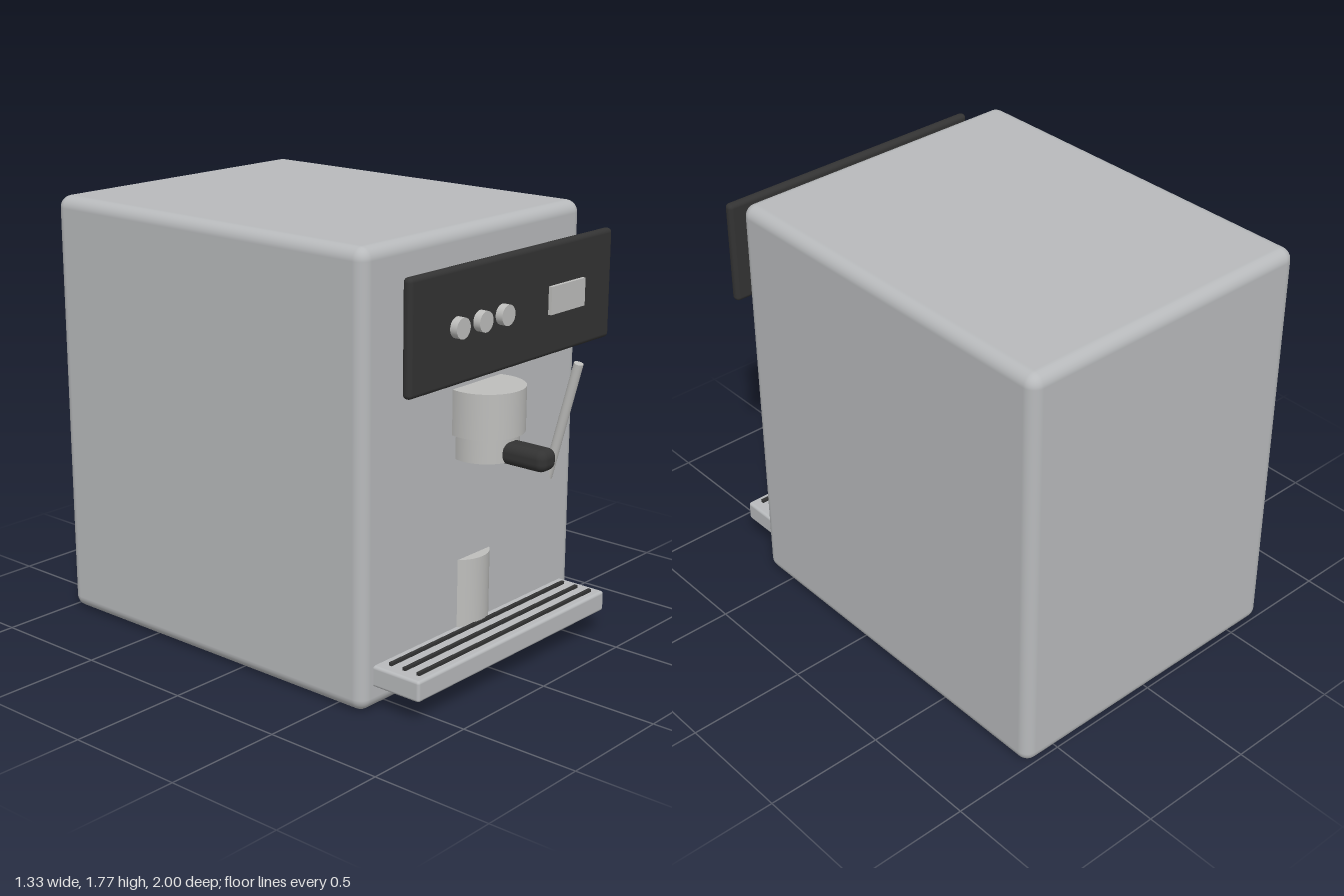
import * as THREE from 'three';
import { RoundedBoxGeometry } from 'three/addons/geometries/RoundedBoxGeometry.js';

export function createModel() {
  const model = new THREE.Group();
  const mat = (name, color) => {
    const m = new THREE.MeshStandardMaterial({ color });
    m.name = name;
    return m;
  };
  const steel = mat('brushed steel', 0xb8babc);
  const chrome = mat('polished steel', 0xbebebc);
  const black = mat('black plastic', 0x333333);

  const add = (name, geometry, material, x, y, z) => {
    const mesh = new THREE.Mesh(geometry, material);
    mesh.name = name;
    mesh.position.set(x, y, z);
    model.add(mesh);
    return mesh;
  };
  const roundBox = (w, h, d, r) => new RoundedBoxGeometry(w, h, d, 4, r);
  const cylinder = (r, h) => new THREE.CylinderGeometry(r, r, h, 40);

  // Housing and the control panel floating ahead of it
  add('housing', roundBox(1.33, 1.775, 1.645, 0.05), steel, 0, 0.8875, -0.1775);
  add('controlPanel', roundBox(1.24, 0.44, 0.04, 0.018), black, 0, 1.47, 0.805);

  // Three buttons and a display on the panel
  for (const x of [-0.357, -0.223, -0.09]) {
    add('button', cylinder(0.04, 0.04), chrome, x, 1.47, 0.836).rotation.x = Math.PI / 2;
  }
  add('display', new THREE.BoxGeometry(0.22, 0.11, 0.02), chrome, 0.31, 1.47, 0.83);

  // Brew head, filter holder and handle
  add('brewHead', cylinder(0.155, 0.18), chrome, 0, 1.07, 0.69);
  add('filterHolder', cylinder(0.133, 0.1), chrome, 0, 0.93, 0.69);
  add('handle', roundBox(0.1, 0.088, 0.25, 0.035), black, 0, 0.915, 0.875);

  // Steam wand slanting back into the housing
  const top = new THREE.Vector3(0.51, 1.15, 0.761);
  const bottom = new THREE.Vector3(0.51, 0.56, 0.603);
  const axis = top.clone().sub(bottom);
  const mid = top.clone().add(bottom).multiplyScalar(0.5);
  const wand = add('steamWand', cylinder(0.02, axis.length()), chrome, mid.x, mid.y, mid.z);
  wand.quaternion.setFromUnitVectors(new THREE.Vector3(0, 1, 0), axis.normalize());

  // Cup partly set into the housing
  add('cup', cylinder(0.134, 0.28), chrome, 0, 0.32, 0.556);

  // Drip tray with dark slats
  add('dripTray', roundBox(1.2, 0.085, 0.3, 0.012), steel, 0, 0.1375, 0.715);
  for (const z of [0.69, 0.757, 0.824]) {
    add('traySlat', new THREE.BoxGeometry(1.11, 0.02, 0.014), black, 0, 0.182, z);
  }

  return model;
}
